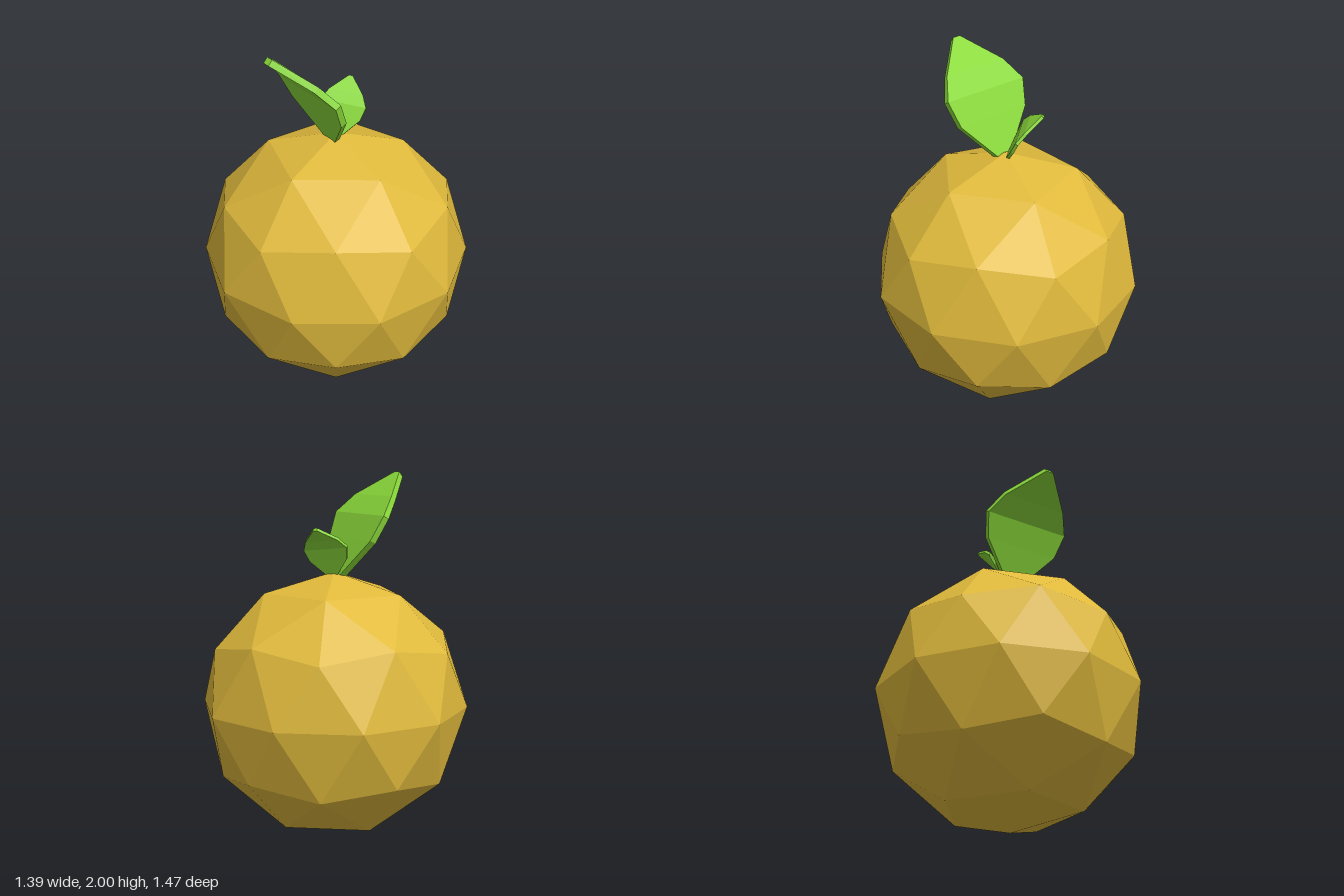
import * as THREE from 'three';

const fruitSkin = new THREE.MeshStandardMaterial({ color: 0xe0ba3c, flatShading: true });
fruitSkin.name = 'golden skin';
const leafGreen = new THREE.MeshStandardMaterial({ color: 0x8ad93a, flatShading: true });
leafGreen.name = 'leaf green';

// Leaf spine from base to tip: height, forward reach, half width
const LEAF_ROWS = [
  [0, 0.01, 0.015],
  [0.225, 0.11, 0.22],
  [0.355, 0.17, 0.255],
  [0.45, 0.255, 0.19],
  [0.575, 0.41, 0.022],
];

// Thin box whose rows are widened and bent along the spine
function leafGeometry(thickness) {
  const last = LEAF_ROWS.length - 1;
  const geometry = new THREE.BoxGeometry(2, last, thickness, 1, last, 1);
  const p = geometry.attributes.position;
  for (let i = 0; i < p.count; i++) {
    const row = Math.round(p.getY(i) + last / 2);
    const [y, z, halfWidth] = LEAF_ROWS[row];
    const before = LEAF_ROWS[Math.max(row - 1, 0)];
    const after = LEAF_ROWS[Math.min(row + 1, last)];
    const tangent = new THREE.Vector2(after[0] - before[0], after[1] - before[1]).normalize();
    const offset = p.getZ(i);
    p.setXYZ(i, p.getX(i) * halfWidth, y - offset * tangent.y, z + offset * tangent.x);
  }
  geometry.computeVertexNormals();
  return geometry;
}

export function createModel() {
  const model = new THREE.Group();
  model.name = 'fruit';

  // Faceted round body with one vertex pointing straight up
  const radius = 0.733;
  const bodyGeometry = new THREE.IcosahedronGeometry(radius, 1);
  bodyGeometry.rotateZ(-Math.atan(2 / (1 + Math.sqrt(5))));
  bodyGeometry.computeVertexNormals();
  const body = new THREE.Mesh(bodyGeometry, fruitSkin);
  body.name = 'fruitBody';
  body.position.y = radius;
  model.add(body);

  // Large leaf arching forward
  const geometry = leafGeometry(0.036);
  const largeLeaf = new THREE.Mesh(geometry, leafGreen);
  largeLeaf.name = 'largeLeaf';
  largeLeaf.position.y = 1.41;
  model.add(largeLeaf);

  // Small leaf leaning back and to the side
  const smallLeaf = new THREE.Mesh(geometry, leafGreen);
  smallLeaf.name = 'smallLeaf';
  smallLeaf.scale.setScalar(0.49);
  smallLeaf.rotation.set(0, 3.82, 0.1, 'YXZ');
  smallLeaf.position.y = 1.425;
  model.add(smallLeaf);

  return model;
}
